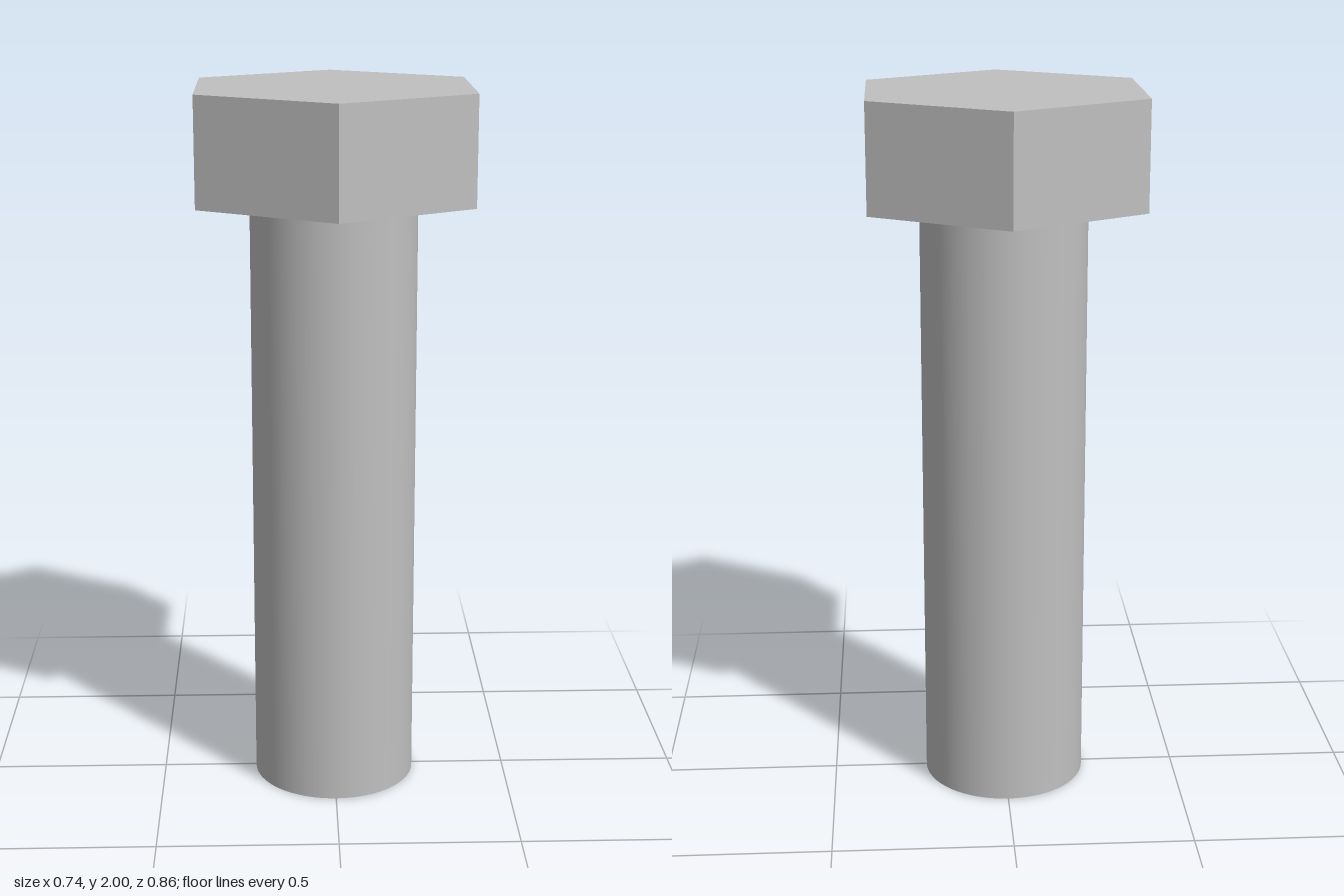
import * as THREE from 'three';

const HEIGHT = 2;
const HEAD_HEIGHT = 0.3;
const HEAD_RADIUS = 0.428;  // centre to corner
const SHANK_RADIUS = 0.231;

export function createModel() {
  const group = new THREE.Group();
  group.name = 'hexBolt';
  const steel = new THREE.MeshStandardMaterial({ color: 0xc0c0c0 });
  steel.name = 'steel grey';

  // Smooth round shank, standing on the ground
  const shankHeight = HEIGHT - HEAD_HEIGHT;
  const shank = new THREE.Mesh(
    new THREE.CylinderGeometry(SHANK_RADIUS, SHANK_RADIUS, shankHeight, 64), steel);
  shank.name = 'shank';
  shank.position.y = shankHeight / 2;
  group.add(shank);

  // Six-sided head with flat faces, corners pointing front and back
  const headGeometry = new THREE.CylinderGeometry(
    HEAD_RADIUS, HEAD_RADIUS, HEAD_HEIGHT, 6).toNonIndexed();
  headGeometry.computeVertexNormals();
  const head = new THREE.Mesh(headGeometry, steel);
  head.name = 'head';
  head.position.y = HEIGHT - HEAD_HEIGHT / 2;
  group.add(head);

  return group;
}
